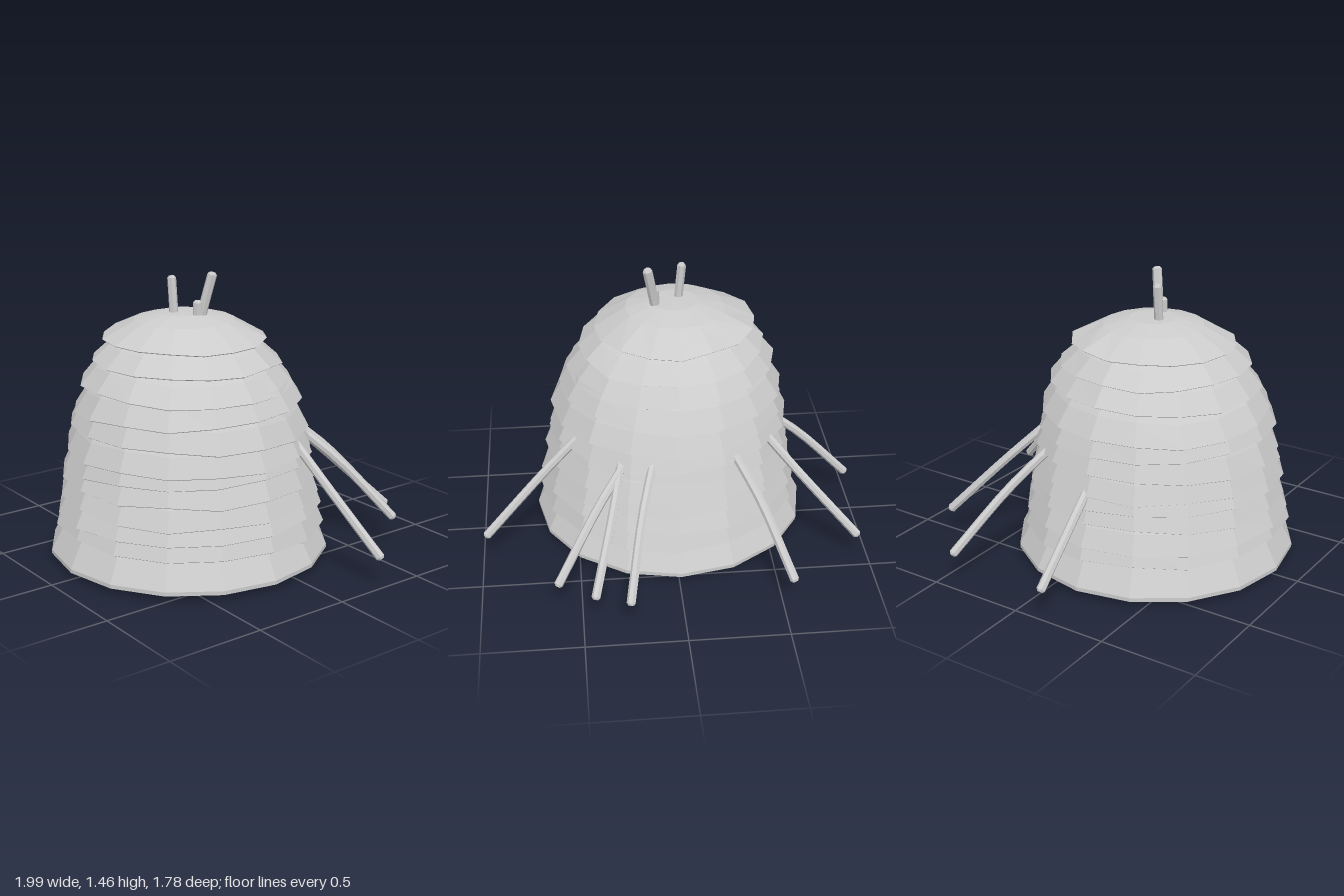
import * as THREE from 'three';

const SIDES = 16;
const CENTRE_Z = 0.165;

// Small seeded generator, returns -1..1
function seeded(seed) {
  let s = seed;
  return () => {
    s = (s * 16807) % 2147483647;
    return (s / 2147483647) * 2 - 1;
  };
}

export function createModel() {
  const model = new THREE.Group();
  const rand = seeded(4127);
  const straw = new THREE.MeshStandardMaterial({ color: 0xcccccc, flatShading: true, side: THREE.DoubleSide });
  const wood = new THREE.MeshStandardMaterial({ color: 0xcccccc, flatShading: true });

  const add = (name, geometry, material) => {
    const mesh = new THREE.Mesh(geometry, material);
    mesh.name = name;
    model.add(mesh);
    return mesh;
  };

  // One skirt of thatch: a faceted ring, tilted and made slightly uneven at its rim
  const skirt = (name, profile, cx, tilt, turn, rough) => {
    const g = new THREE.LatheGeometry(profile.map(([r, y]) => new THREE.Vector2(r, y)), SIDES);
    const p = g.attributes.position;
    const n = profile.length;
    const bumps = Array.from({ length: SIDES }, () => [rand() * rough, rand() * rough]);
    for (let i = 0; i < p.count; i++) {
      const side = Math.floor(i / n) % SIDES;
      const [dr, dy] = bumps[side];
      const a = (side / SIDES) * Math.PI * 2;
      const r = Math.hypot(p.getX(i), p.getZ(i));
      const k = 1 + (r > 0.3 ? dr : 0);
      const lift = r > 0.3 ? tilt * Math.cos(a - turn) + dy : 0;
      p.setXYZ(i, p.getX(i) * k + cx, p.getY(i) + lift, p.getZ(i) * k + CENTRE_Z);
    }
    g.computeVertexNormals();
    add(name, g, straw);
  };

  // Base course, closed underneath
  skirt('baseThatch', [[0, 0.03], [0.719, 0.03], [0.719, 0.05], [0.63, 0.22], [0.58, 0.3]], -0.01, 0, 0, 0);

  // Overlapping courses: rim radius, rim height, top radius, top height, x shift, tilt
  const courses = [
    [0.69, 0.18, 0.60, 0.36, 0, 0.012],
    [0.682, 0.265, 0.585, 0.44, 0, 0.012],
    [0.662, 0.355, 0.57, 0.53, 0, 0.02],
    [0.655, 0.435, 0.56, 0.61, 0, 0.012],
    [0.635, 0.525, 0.55, 0.69, -0.005, 0.025],
    [0.628, 0.595, 0.53, 0.77, -0.005, 0.012],
    [0.61, 0.69, 0.50, 0.87, 0, 0.015],
    [0.585, 0.80, 0.45, 0.98, -0.015, 0.025],
    [0.54, 0.915, 0.38, 1.08, -0.015, 0.02],
    [0.482, 1.02, 0.30, 1.16, -0.02, 0.015],
  ];
  courses.forEach(([r, y, rt, yt, cx, tilt], i) => {
    const ym = y + (yt - y) * 0.55;
    const rm = r + (rt - r) * 0.48;
    skirt('thatchCourse' + (i + 1),
      [[rt - 0.03, y + 0.03], [r - 0.01, y - 0.006], [r, y], [rm, ym], [rt, yt]],
      cx, tilt, i * 2.1, 0.011);
  });

  // Domed cap
  skirt('thatchCap', [[0.25, 1.13], [0.41, 1.125], [0.416, 1.13], [0.255, 1.215], [0.12, 1.248], [0, 1.25]],
    -0.04, 0.018, Math.PI * 1.5, 0.012);

  // Bent stick of seven sides with closed ends
  const stick = (name, points, radius) => {
    const path = new THREE.CatmullRomCurve3(points.map((q) => new THREE.Vector3(...q)));
    const steps = 6;
    const group = new THREE.Group();
    group.name = name;
    group.add(new THREE.Mesh(new THREE.TubeGeometry(path, steps, radius, 7), wood));
    [0, 1].forEach((t) => {
      const end = new THREE.Mesh(new THREE.CylinderGeometry(radius * 0.6, radius, 0.012, 7), wood);
      const dir = path.getTangent(t).multiplyScalar(t ? 1 : -1);
      end.position.copy(path.getPoint(t)).addScaledVector(dir, 0.004);
      end.quaternion.setFromUnitVectors(new THREE.Vector3(0, 1, 0), dir);
      group.add(end);
    });
    group.children.forEach((m) => { m.name = name + 'Part'; });
    model.add(group);
  };

  // Props leaning on the back and sides: inner x, z, height, then foot x, z
  const props = [
    [-0.53, 0.14, 0.57, -0.985, 0.145],
    [-0.49, -0.17, 0.61, -0.935, -0.435],
    [-0.30, -0.35, 0.62, -0.55, -0.775],
    [0.12, -0.40, 0.63, 0.268, -0.88],
    [0.27, -0.33, 0.63, 0.435, -0.82],
    [0.24, -0.34, 0.63, 0.615, -0.705],
    [0.47, -0.13, 0.65, 0.975, -0.268],
  ];
  props.forEach(([x, z, y, fx, fz], i) => {
    const mix = (a, b, t) => a + (b - a) * t;
    const bend = i % 2 ? 0.012 : -0.01;
    stick('leaningProp' + (i + 1), [
      [x, y, z],
      [mix(x, fx, 0.4) + bend, mix(y, 0.15, 0.37), mix(z, fz, 0.4) - bend],
      [fx, 0.15, fz],
    ], 0.023);
  });

  // Poles coming out of the top; the middle one runs down to the ground
  stick('topPoleLeft', [[-0.055, 1.1, 0.21], [-0.065, 1.26, 0.21], [-0.08, 1.42, 0.21]], 0.023);
  stick('topPoleRight', [[0.04, 1.1, 0.15], [0.068, 1.27, 0.126], [0.102, 1.45, 0.093]], 0.025);
  stick('centrePole', [[0.045, 0.01, 0.155], [0.05, 0.65, 0.155], [0.062, 1.31, 0.155]], 0.023);

  return model;
}
